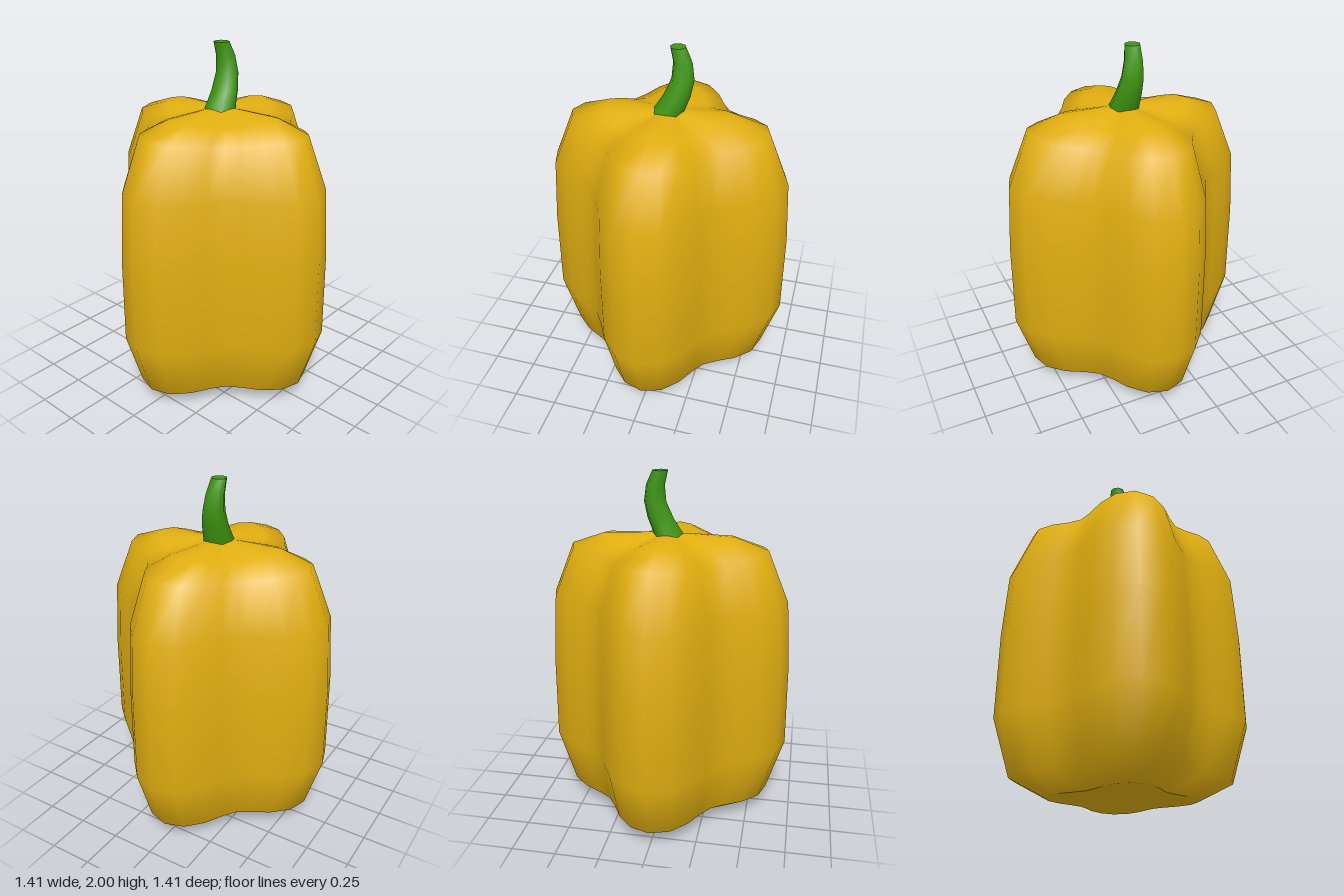
import * as THREE from 'three';
import { mergeVertices } from 'three/addons/utils/BufferGeometryUtils.js';

// Skin a stack of rings, ordered from the bottom up; point(ring, angle) gives [x, y, z]
function loft(rings, sides, point) {
  const pos = [], index = [];
  rings.forEach((ring, i) => {
    for (let j = 0; j < sides; j++) {
      pos.push(...point(ring, (j / sides) * Math.PI * 2));
      if (i === rings.length - 1) continue;
      const a = i * sides + j, b = i * sides + (j + 1) % sides;
      index.push(a, a + sides, b, b, a + sides, b + sides);
    }
  });
  const geo = new THREE.BufferGeometry();
  geo.setAttribute('position', new THREE.Float32BufferAttribute(pos, 3));
  geo.setIndex(index);
  const merged = mergeVertices(geo, 1e-5);
  merged.computeVertexNormals();
  return merged;
}

// Four-lobed cross-section: [radius at lobe tip, height, drop in the grooves]
function lobed([r, y, dip], a) {
  const c = Math.cos(4 * a);
  const k = r * (0.855 + 0.145 * c);
  return [k * Math.cos(a), y - dip * (1 - c) / 2, k * Math.sin(a)];
}

// Round cross-section: [centre x, height, centre z, radius]
function round([x, y, z, r], a) {
  return [x + r * Math.cos(a), y, z + r * Math.sin(a)];
}

export function createModel() {
  const group = new THREE.Group();
  const yellow = new THREE.MeshStandardMaterial({ color: 0xe0ae10 });
  yellow.name = 'yellowSkin';
  const green = new THREE.MeshStandardMaterial({ color: 0x3f9612 });
  green.name = 'greenStem';

  const add = (name, geo, mat) => {
    const mesh = new THREE.Mesh(geo, mat);
    mesh.name = name;
    group.add(mesh);
  };

  // Fruit body, with a dimpled top
  const profile = [
    [0.41, 0, 0], [0.605, 0.1, 0], [0.705, 0.42, 0], [0.7, 0.92, 0], [0.675, 1.29, 0],
    [0.555, 1.58, 0.03], [0.37, 1.645, 0.04], [0.12, 1.655, 0.01], [0, 1.655, 0],
  ];
  add('body', loft(profile, 32, lobed), yellow);

  // Flat underside
  add('bodyBase', loft([[0, 0, 0], profile[0]], 32, lobed), yellow);

  // Curved, tapering stem
  const stem = [
    [-0.005, 1.64, 0, 0.086], [0.045, 1.74, -0.007, 0.073], [0.073, 1.83, -0.015, 0.062],
    [0.07, 1.92, -0.022, 0.052], [0.042, 2, -0.028, 0.043],
  ];
  add('stem', loft(stem, 8, round), green);

  // Cut end of the stem
  const tip = stem[stem.length - 1];
  add('stemTip', loft([tip, [tip[0], tip[1], tip[2], 0]], 8, round), green);

  return group;
}
